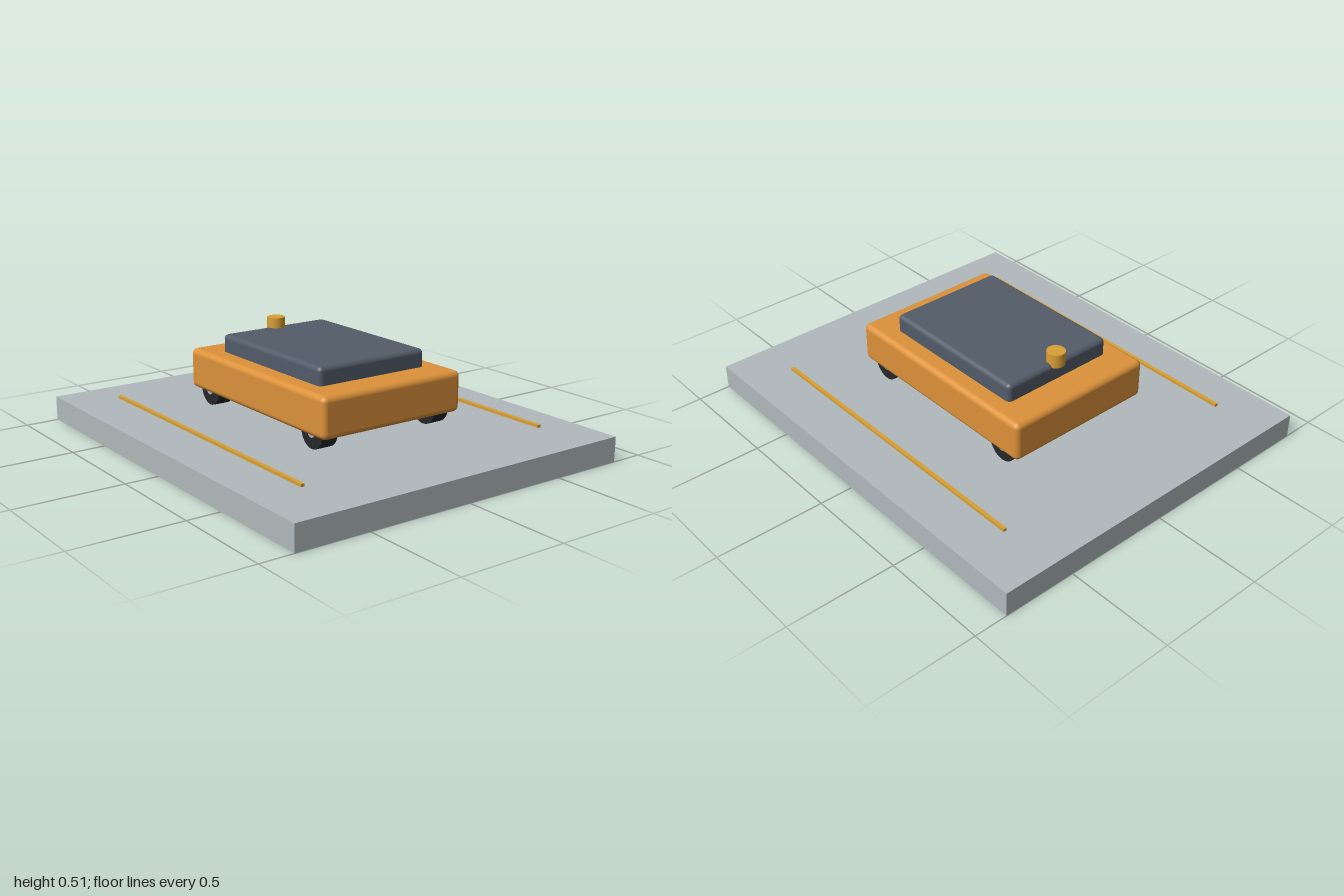
import * as THREE from 'three';
import { RoundedBoxGeometry } from 'three/addons/geometries/RoundedBoxGeometry.js';

const mat = (color) => new THREE.MeshStandardMaterial({ color });

export function createModel() {
  const model = new THREE.Group();
  model.name = 'roverOnPlatform';
  const grey = mat(0xb0b9bc), orange = mat(0xdc923a), slate = mat(0x525c68);
  const brass = mat(0xd9a036), rubber = mat(0x25272a), metal = mat(0xa4abaf);

  const add = (name, geometry, material, x, y, z, parent = model) => {
    const mesh = new THREE.Mesh(geometry, material);
    mesh.name = name;
    mesh.position.set(x, y, z);
    parent.add(mesh);
    return mesh;
  };

  // Platform with two floating guide strips
  add('platform', new THREE.BoxGeometry(2, 0.115, 1.69), grey, 0, 0.0575, 0);
  for (const s of [-1, 1]) {
    add('guideStrip', new THREE.BoxGeometry(1.5, 0.013, 0.017), brass, 0, 0.138, s * 0.632);
  }

  // Vehicle body and top deck
  add('body', new RoundedBoxGeometry(1.05, 0.186, 0.74, 4, 0.026), orange, 0, 0.29, 0);
  add('deck', new RoundedBoxGeometry(0.756, 0.105, 0.566, 4, 0.022), slate, 0, 0.4125, 0);

  // Sensor knob overhanging one end of the deck
  add('sensorKnob', new THREE.CylinderGeometry(0.042, 0.042, 0.064, 32), brass, -0.36, 0.481, 0);

  // Four wheels with small hubs
  const tyre = new THREE.CylinderGeometry(0.075, 0.075, 0.078, 32).rotateX(Math.PI / 2);
  const hub = new THREE.CylinderGeometry(0.025, 0.025, 0.088, 24).rotateX(Math.PI / 2);
  for (const sx of [-1, 1]) {
    for (const sz of [-1, 1]) {
      const wheel = new THREE.Group();
      wheel.name = 'wheel';
      wheel.position.set(sx * 0.403, 0.206, sz * 0.302);
      add('tyre', tyre, rubber, 0, 0, 0, wheel);
      add('hub', hub, metal, 0, 0, 0, wheel);
      model.add(wheel);
    }
  }
  return model;
}
